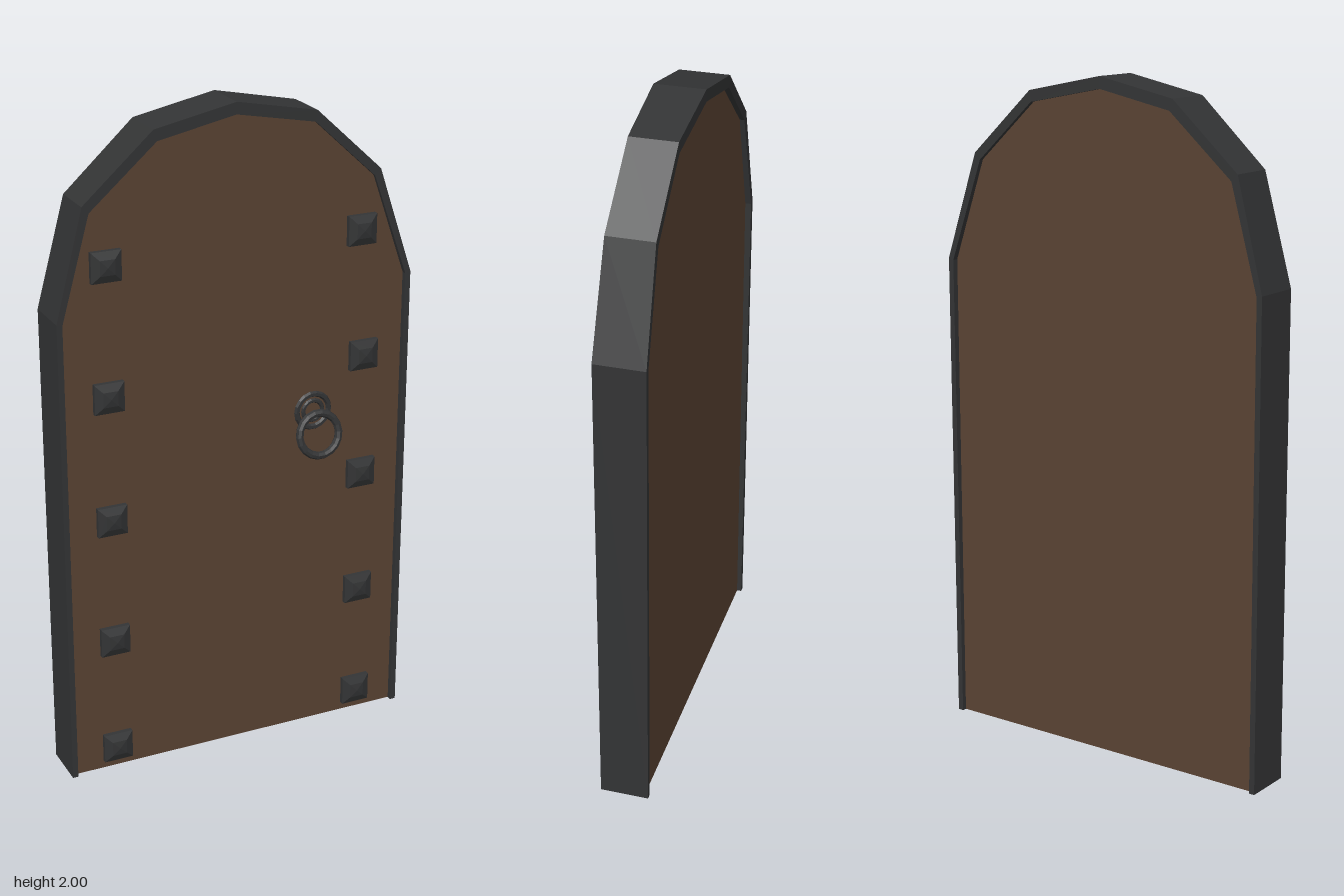
import * as THREE from 'three';

// Arch stations: outer x, outer y, inner x, inner y, front z, back z
const ARCH = [
  [-0.55, 0, -0.533, 0, 0.045, -0.1],
  [-0.55, 1.44, -0.533, 1.435, 0.045, -0.104],
  [-0.465, 1.76, -0.445, 1.74, 0.038, -0.1],
  [-0.255, 1.95, -0.245, 1.917, 0.043, -0.104],
  [-0.01, 2, -0.01, 1.965, 0.044, -0.104],
  [0.24, 1.95, 0.235, 1.917, 0.038, -0.1],
  [0.445, 1.76, 0.427, 1.74, 0.039, -0.1],
  [0.55, 1.44, 0.533, 1.435, 0.045, -0.104],
  [0.55, 0, 0.533, 0, 0.045, -0.1],
];

// Sweeps a four-cornered section along the arch and caps both feet
function frameGeometry() {
  const rings = ARCH.map(([ox, oy, ix, iy, f, b]) => [
    [ox, oy, f], [ox, oy, b], [ix, iy, b], [ix, iy, f],
  ]);
  const pos = [];
  const quad = (a, b, c, d) => pos.push(...a, ...b, ...c, ...a, ...c, ...d);
  for (let i = 0; i < rings.length - 1; i++) {
    for (let k = 0; k < 4; k++) {
      const n = (k + 1) % 4;
      quad(rings[i][k], rings[i + 1][k], rings[i + 1][n], rings[i][n]);
    }
  }
  const [a, z] = [rings[0], rings[rings.length - 1]];
  quad(a[0], a[1], a[2], a[3]);
  quad(z[3], z[2], z[1], z[0]);
  const g = new THREE.BufferGeometry();
  g.setAttribute('position', new THREE.Float32BufferAttribute(pos, 3));
  g.computeVertexNormals();
  return g;
}

// Square stud with a shallow domed pyramid on top, facing +z
function studGeometry() {
  const r = 0.045 * Math.SQRT2;
  const profile = [[r, 0], [r, 0.014], [r * 0.5, 0.024], [0, 0.028]]
    .map(([x, y]) => new THREE.Vector2(x, y));
  return new THREE.LatheGeometry(profile, 4).rotateY(Math.PI / 4).rotateX(Math.PI / 2);
}

export function createModel() {
  const door = new THREE.Group();
  door.name = 'archedDoor';
  const wood = new THREE.MeshStandardMaterial({ color: 0x5a4333, flatShading: true });
  const iron = new THREE.MeshStandardMaterial({ color: 0x333435, flatShading: true });
  const add = (name, geometry, material, x = 0, y = 0, z = 0) => {
    const mesh = new THREE.Mesh(geometry, material);
    mesh.name = name;
    mesh.position.set(x, y, z);
    door.add(mesh);
    return mesh;
  };

  // Iron band around the edge
  add('frame', frameGeometry(), iron);

  // Wooden leaf, slightly recessed on both faces
  const outline = new THREE.Shape(ARCH.map((s) => new THREE.Vector2(s[2], s[3])));
  const leaf = new THREE.ExtrudeGeometry(outline, { depth: 0.115, bevelEnabled: false });
  add('doorLeaf', leaf, wood, 0, 0, -0.086);

  // Two columns of studs
  const stud = studGeometry();
  [0.07, 0.43, 0.82, 1.2, 1.585].forEach((y, i) => {
    add('rightStud', stud, iron, -0.4, y, 0.029);
    add('leftStud', stud, iron, i === 4 ? 0.39 : 0.405, y, 0.029);
  });

  // Handle: round mount on the leaf and a tilted pull ring
  const mount = new THREE.Group();
  mount.name = 'handleMount';
  for (const [radius, tube] of [[0.052, 0.009], [0.031, 0.007]]) {
    const ring = new THREE.Mesh(new THREE.TorusGeometry(radius, tube, 6, 18), iron);
    ring.name = 'mountRing';
    mount.add(ring);
  }
  mount.position.set(0.243, 1.048, 0.032);
  door.add(mount);

  const pull = add('pullRing', new THREE.TorusGeometry(0.064, 0.012, 8, 18), iron, 0.243, 0.988, 0.076);
  pull.rotation.x = -0.2;

  return door;
}
